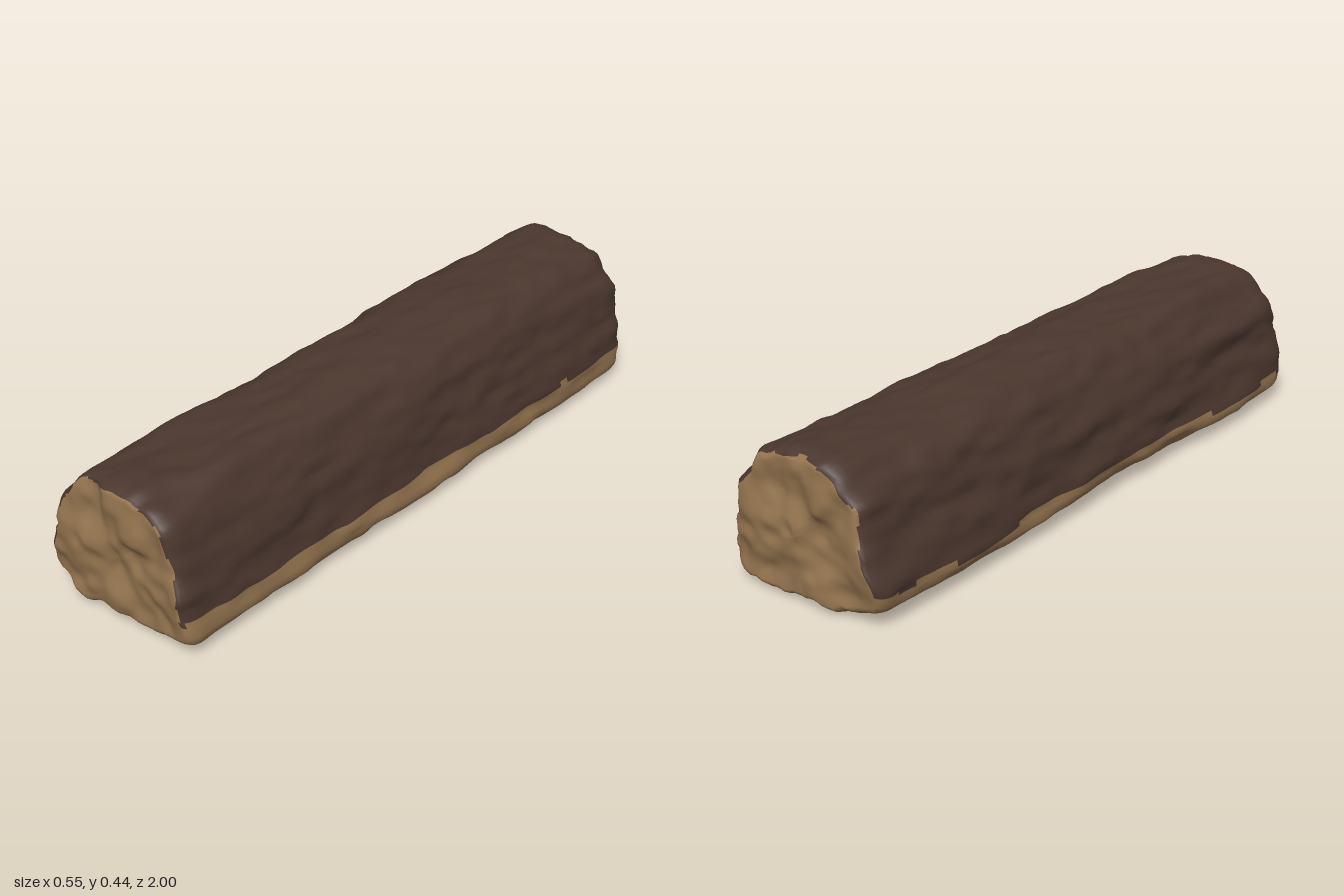
import * as THREE from 'three';

const AROUND = 96, ALONG = 110, CENTRE_Y = 0.2;

// Seeded lattice noise, smoothly interpolated, in the range -1..1
function hash(x, y, z) {
  let h = Math.imul(x, 374761393) ^ Math.imul(y, 668265263) ^ Math.imul(z, 2147483647 - 61) ^ 9173;
  h = Math.imul(h ^ (h >>> 13), 1274126177);
  h = Math.imul(h ^ (h >>> 16), 2246822519);
  return ((h ^ (h >>> 15)) >>> 0) / 2147483648 - 1;
}

function noise(x, y, z) {
  const ix = Math.floor(x), iy = Math.floor(y), iz = Math.floor(z);
  const ease = (t) => t * t * (3 - 2 * t);
  const fx = ease(x - ix), fy = ease(y - iy), fz = ease(z - iz);
  const mix = THREE.MathUtils.lerp;
  const row = (b, c) => mix(hash(ix, iy + b, iz + c), hash(ix + 1, iy + b, iz + c), fx);
  const slab = (c) => mix(row(0, c), row(1, c), fy);
  return mix(slab(0), slab(1), fz);
}

export function createModel() {
  const log = new THREE.Group();
  log.name = 'splitLog';

  const bark = new THREE.MeshStandardMaterial({ color: 0x4b372e });
  bark.name = 'dark bark';
  const wood = new THREE.MeshStandardMaterial({ color: 0x94744f });
  wood.name = 'split wood';

  // Cross-section: flat split base, steep sides, rounded top
  const outline = [
    [0, 0.012], [0.13, 0.012], [0.22, 0.018], [0.262, 0.04], [0.264, 0.09], [0.25, 0.15],
    [0.228, 0.22], [0.212, 0.29], [0.19, 0.35], [0.145, 0.405], [0.07, 0.422], [-0.02, 0.426],
    [-0.1, 0.42], [-0.155, 0.39], [-0.2, 0.335], [-0.226, 0.27], [-0.246, 0.18], [-0.266, 0.11],
    [-0.268, 0.06], [-0.235, 0.035], [-0.17, 0.014], [-0.08, 0.011],
  ].map(([x, y]) => new THREE.Vector3(x, y, 0));
  const section = new THREE.CatmullRomCurve3(outline, true, 'centripetal').getSpacedPoints(AROUND);

  // Stations [scale, z] from the middle of one end to the middle of the other
  const end = [];
  for (let i = 0; i <= 14; i++) end.push([0.88 * i / 14, 0.985]);
  end.push([0.905, 0.984], [0.93, 0.981], [0.955, 0.975], [0.98, 0.962], [0.995, 0.945]);
  const stations = end.map(([s, z]) => [s, -z]);
  for (let i = 1; i < ALONG; i++) stations.push([1, -0.945 + 1.89 * i / ALONG]);
  stations.push(...end.slice().reverse());

  // Bumpy skin: long grain ridges on the flanks, lumps on the ends
  const positions = [];
  for (const [scale, z0] of stations) {
    for (let j = 0; j < AROUND; j++) {
      const p = section[j];
      const grain = 0.012 * noise(p.x * 17, p.y * 17, z0 * 3.2 + 20)
        + 0.007 * noise(p.x * 34 + 7, p.y * 34, z0 * 9)
        + 0.004 * noise(p.x * 50, p.y * 50 + 3, z0 * 17);
      const radius = Math.hypot(p.x, p.y - CENTRE_Y);
      const grow = scale * (1 + grain / radius);
      const x = p.x * grow;
      const y = CENTRE_Y + (p.y - CENTRE_Y) * grow;
      const capWeight = THREE.MathUtils.smoothstep(Math.abs(z0), 0.93, 0.985);
      const lump = 0.018 * noise(x * 13, y * 13, z0 * 7) + 0.007 * noise(x * 28, y * 28, z0 * 11);
      const z = z0 + Math.sign(z0) * capWeight * lump;
      positions.push(x, Math.max(0.002, y), THREE.MathUtils.clamp(z, -1, 1));
    }
  }

  // Sort the faces into bark (upper flanks) and bare wood (base and ends)
  const barkFaces = [], woodFaces = [];
  for (let k = 0; k < stations.length - 1; k++) {
    const scale = (stations[k][0] + stations[k + 1][0]) / 2;
    for (let j = 0; j < AROUND; j++) {
      const n = (j + 1) % AROUND;
      const a = k * AROUND + j, b = k * AROUND + n;
      const c = b + AROUND, d = a + AROUND;
      const [x, y, z] = positions.slice(a * 3, a * 3 + 3);
      const lowerEdge = 0.1 + 0.012 * noise(x * 5, 4, z * 9);
      const endEdge = 0.925 + 0.035 * noise(x * 16, y * 16, z);
      const faces = y > lowerEdge && scale > endEdge ? barkFaces : woodFaces;
      faces.push(a, b, c, a, c, d);
    }
  }

  // Normals come from the whole skin so both parts meet smoothly
  const skin = new THREE.BufferGeometry();
  skin.setAttribute('position', new THREE.Float32BufferAttribute(positions, 3));
  skin.setIndex([...barkFaces, ...woodFaces]);
  skin.computeVertexNormals();

  const addPart = (name, faces, material) => {
    const geometry = new THREE.BufferGeometry();
    geometry.setAttribute('position', skin.getAttribute('position'));
    geometry.setAttribute('normal', skin.getAttribute('normal'));
    geometry.setIndex(faces);
    const mesh = new THREE.Mesh(geometry, material);
    mesh.name = name;
    log.add(mesh);
  };
  addPart('bark', barkFaces, bark);
  addPart('splitWood', woodFaces, wood);

  return log;
}
